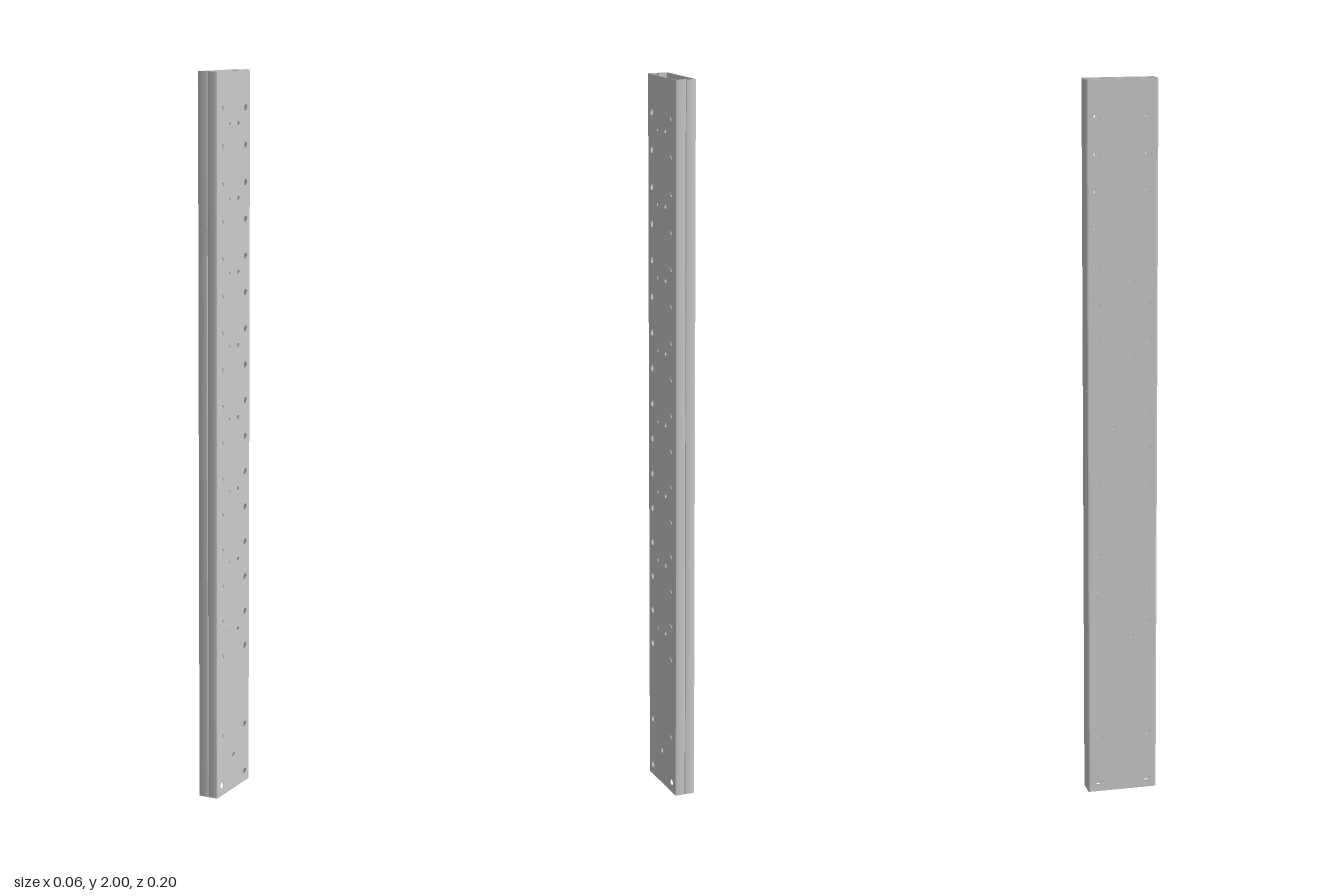
import * as THREE from 'three';
import { toCreasedNormals } from 'three/addons/utils/BufferGeometryUtils.js';

const HEIGHT = 2, W = 0.029, D = 0.0985; // height, half width, half depth
const T = 0.002, R = 0.005, LIP_R = 0.003, LIP = 0.012; // sheet, bends, lip length

const material = new THREE.MeshStandardMaterial({ color: 0xcccccc });

function part(name, geometry) {
  const mesh = new THREE.Mesh(toCreasedNormals(geometry, 0.6), material);
  mesh.name = name;
  return mesh;
}

// Flat side wall, punched with the bolt holes
function webGeometry() {
  const e = D - R;
  const shape = new THREE.Shape();
  shape.moveTo(-e, 0).lineTo(e, 0).lineTo(e, HEIGHT).lineTo(-e, HEIGHT).closePath();
  const punch = (z, y, r) => shape.holes.push(new THREE.Path().absarc(z, y, r, 0, Math.PI * 2, true));
  const rows = [0.03, 0.17];
  for (let i = 0; i < 16; i++) rows.push(0.4 + i * 0.1);
  for (const s of [-1, 1]) {
    for (const y of rows) punch(s * 0.07, y, 0.009);
    for (let i = 0; i < 8; i++) punch(s * 0.027, 0.46 + i * 0.2, 0.006);
  }
  punch(0, 0.1, 0.007);
  return new THREE.ExtrudeGeometry(shape, { depth: T, bevelEnabled: false, curveSegments: 8 })
    .rotateY(Math.PI / 2).translate(W - T, 0, 0);
}

// Bent edge: rounded corner, narrow face and inward lip at the centre seam
function flangeGeometry(s) {
  const shape = new THREE.Shape();
  shape.moveTo(W, s * (D - R));
  shape.quadraticCurveTo(W, s * D, W - R, s * D);
  shape.lineTo(LIP_R, s * D);
  shape.quadraticCurveTo(0, s * D, 0, s * (D - LIP_R));
  shape.lineTo(0, s * (D - LIP));
  shape.lineTo(T, s * (D - LIP));
  shape.lineTo(T, s * (D - LIP_R));
  shape.quadraticCurveTo(T, s * (D - T), LIP_R, s * (D - T));
  shape.lineTo(W - R, s * (D - T));
  shape.quadraticCurveTo(W - T, s * (D - T), W - T, s * (D - R));
  shape.closePath();
  return new THREE.ExtrudeGeometry(shape, { depth: HEIGHT, bevelEnabled: false, curveSegments: 6 })
    .rotateX(-Math.PI / 2);
}

export function createModel() {
  const post = new THREE.Group();
  post.name = 'perforatedPost';
  // Two lipped channels set face to face
  for (const [name, turn] of [['leftChannel', 0], ['rightChannel', Math.PI]]) {
    const channel = new THREE.Group();
    channel.name = name;
    channel.add(
      part('perforatedWall', webGeometry()),
      part('lippedFlangeA', flangeGeometry(1)),
      part('lippedFlangeB', flangeGeometry(-1)),
    );
    channel.rotation.y = turn;
    post.add(channel);
  }
  return post;
}
